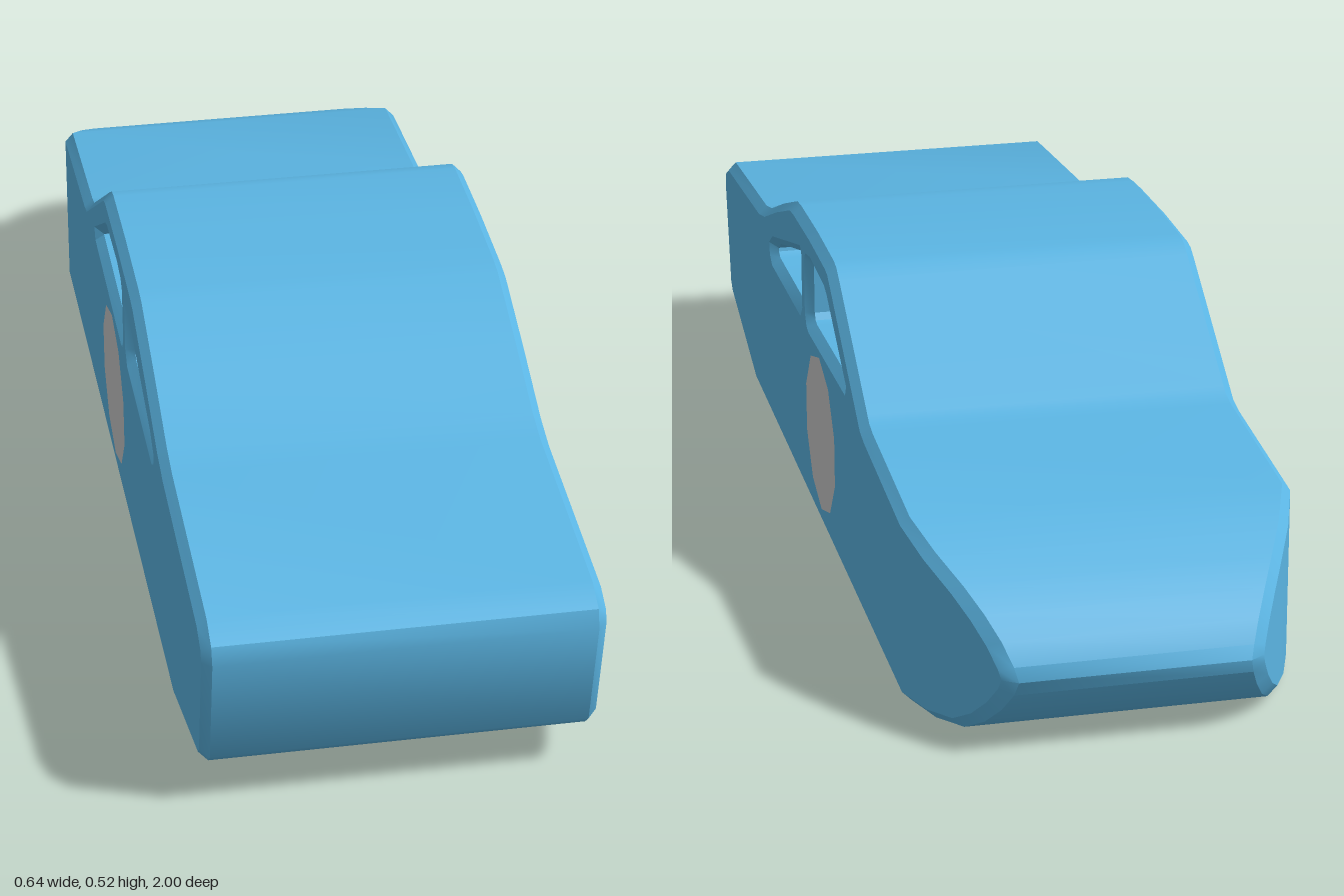
import * as THREE from 'three';
import { toCreasedNormals } from 'three/addons/utils/BufferGeometryUtils.js';

const CHAMFER = 0.015;

// Side profile as [z, y], counter-clockwise from the rear of the floor
const cabin = [
  [-0.75, 0], [0.66, 0], [0.94, 0.08], [0.96, 0.1], [1, 0.3], [0.99, 0.33], [0.945, 0.352],
  [0.58, 0.385], [0.52, 0.4], [0.383, 0.455], [0.238, 0.508], [0.2, 0.513], [0.035, 0.52],
  [-0.115, 0.52], [-0.14, 0.516], [-0.165, 0.502], [-0.404, 0.353], [-0.42, 0.343], [-0.45, 0.337],
  [-0.75, 0.317],
];
// Tail stations: z, upper y, lower y
const tail = [
  [-0.82, 0.285, 0], [-0.886, 0.252, 0.012], [-0.93, 0.222, 0.04],
  [-0.965, 0.19, 0.075], [-0.99, 0.157, 0.11],
];
// Window openings, clockwise
const windows = [
  [[0.12, 0.35], [0.12, 0.455], [0.135, 0.462], [0.16, 0.455], [0.43, 0.377], [0.468, 0.353],
    [0.462, 0.33], [0.44, 0.317], [0.14, 0.327]],
  [[-0.297, 0.362], [-0.125, 0.464], [-0.1, 0.472], [0.035, 0.475], [0.08, 0.466], [0.094, 0.45],
    [0.094, 0.35], [0.08, 0.33], [0.06, 0.325], [-0.285, 0.341]],
];

// Half width of the body, narrowing along the tail
function halfWidth(z) {
  const d = Math.min(1, Math.max(0, (-0.75 - z) / 0.25));
  return 0.318 - 0.118 * Math.pow(d, 1.2);
}

// Moves a closed loop to the left of its direction by distance d
function offset(loop, d) {
  const n = loop.length;
  const normal = (a, b) => new THREE.Vector2(a[1] - b[1], b[0] - a[0]).normalize();
  return loop.map((p, i) => {
    const n1 = normal(loop[(i + n - 1) % n], p);
    const n2 = normal(p, loop[(i + 1) % n]);
    const s = d / (1 + n1.dot(n2));
    return [p[0] + (n1.x + n2.x) * s, p[1] + (n1.y + n2.y) * s];
  });
}

// One side of a loop; side is +1 or -1, inset pulls it in from the side face
const ring = (loop, side, inset) =>
  loop.map(([z, y]) => [side * (halfWidth(z) - inset), y, z]);

function geometry(triangles) {
  const g = new THREE.BufferGeometry();
  g.setAttribute('position', new THREE.Float32BufferAttribute(triangles.flat(2), 3));
  return toCreasedNormals(g, 0.6);
}

// Chamfer, wall across the body, chamfer
function shell(face, wall) {
  const rings = [ring(face, 1, 0), ring(wall, 1, CHAMFER), ring(wall, -1, CHAMFER), ring(face, -1, 0)];
  const tris = [];
  for (let r = 0; r < 3; r++) {
    const a = rings[r], b = rings[r + 1];
    a.forEach((p, i) => {
      const j = (i + 1) % a.length;
      tris.push([p, a[j], b[j]], [p, b[j], b[i]]);
    });
  }
  return geometry(tris);
}

// Side face from index triples, facing outward on either side
function sideFace(points, faces, side) {
  const v = ring(points, side, 0);
  return geometry(faces.map(([a, b, c]) => (side > 0 ? [v[a], v[c], v[b]] : [v[a], v[b], v[c]])));
}

export function createModel() {
  const model = new THREE.Group();
  const paint = new THREE.MeshStandardMaterial({ color: 0x5bb5e3 });
  const grey = new THREE.MeshStandardMaterial({ color: 0xcccccc });
  const add = (name, geo, mat) => {
    const mesh = new THREE.Mesh(geo, mat);
    mesh.name = name;
    model.add(mesh);
    return mesh;
  };

  // Body skin with chamfered edges
  const outline = [
    ...cabin,
    ...tail.map(([z, up]) => [z, up]),
    [-1, 0.135],
    ...tail.map(([z, , low]) => [z, low]).reverse(),
  ];
  const face = offset(outline, CHAMFER);
  add('bodyShell', shell(face, outline), paint);

  // Window tunnels
  windows.forEach((w, i) =>
    add(i ? 'rearWindowOpening' : 'frontWindowOpening', shell(w, offset(w, -CHAMFER)), paint));

  // Triangles of the flat side and of the tapering tail
  const N = outline.length, M = cabin.length;
  const toVec = (loop) => loop.map(([z, y]) => new THREE.Vector2(z, y));
  const flat = face.slice(0, M);
  const flatFaces = THREE.ShapeUtils.triangulateShape(toVec(flat), windows.map(toVec));
  const tailFaces = [];
  for (let k = 0; k <= tail.length; k++) {
    const u = M - 1 + k, l = (N - k) % N, l2 = N - k - 1;
    if (u + 1 !== l2) tailFaces.push([u, u + 1, l2]);
    tailFaces.push([u, l2, l]);
  }

  for (const side of [1, -1]) {
    const label = side > 0 ? 'left' : 'right';
    add(label + 'Side', sideFace([...flat, ...windows.flat()], flatFaces, side), paint);
    add(label + 'TailSide', sideFace(face, tailFaces, side), paint);

    // Ten-sided disc on the door
    const disc = add(label + 'Disc', new THREE.CircleGeometry(0.142, 10, Math.PI / 2), grey);
    disc.rotation.y = side * Math.PI / 2;
    disc.position.set(side * 0.3195, 0.178, -0.05);
  }
  return model;
}
